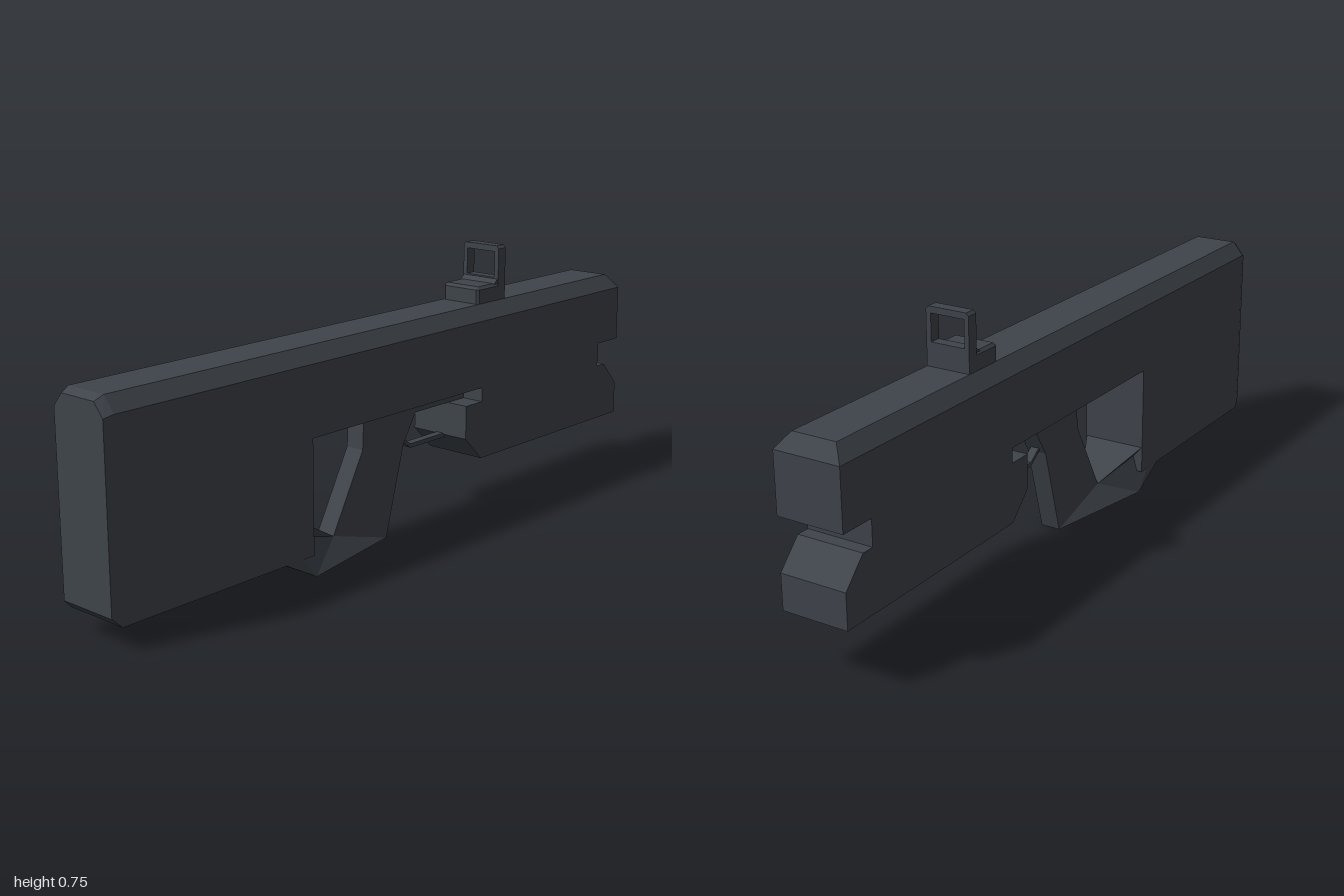
import * as THREE from 'three';
import { ConvexGeometry } from 'three/addons/geometries/ConvexGeometry.js';

export function createModel() {
  const group = new THREE.Group();
  const gunmetal = new THREE.MeshStandardMaterial({ color: 0x3f444b });
  gunmetal.name = 'gunmetal';

  const add = (name, geometry) => {
    const mesh = new THREE.Mesh(geometry, gunmetal);
    mesh.name = name;
    group.add(mesh);
    return mesh;
  };

  // Extrudes a (z, y) side outline across x; halfWidth may vary by point.
  function sideExtrude(points, halfWidth) {
    const shape = new THREE.Shape(points.map(([z, y]) => new THREE.Vector2(z, y)));
    const g = new THREE.ExtrudeGeometry(shape, { depth: 2, bevelEnabled: false });
    g.translate(0, 0, -1);
    g.rotateY(-Math.PI / 2);
    const p = g.attributes.position;
    for (let i = 0; i < p.count; i++) {
      const w = typeof halfWidth === 'function' ? halfWidth(p.getZ(i), p.getY(i)) : halfWidth;
      p.setX(i, Math.sign(p.getX(i)) * w);
    }
    g.computeVertexNormals();
    return g;
  }

  // Convex solid from points mirrored across x.
  const mirroredHull = (points) => new ConvexGeometry(points.flatMap(([x, y, z]) =>
    [new THREE.Vector3(x, y, z), new THREE.Vector3(-x, y, z)]));

  // Main body: rear block, bridge over the grip, fore block and notched nose
  add('body', sideExtrude([
    [0.975, 0.56], [0.975, 0.06], [0.35, 0.06], [0.35, 0.37], [-0.33, 0.37],
    [-0.33, 0.33], [-0.26, 0.33], [-0.26, 0.235], [-0.33, 0.165], [-1, 0.165],
    [-1, 0.26], [-0.935, 0.33], [-0.9, 0.33], [-0.9, 0.4], [-1, 0.4], [-1, 0.56],
  ], 0.093));

  // Chamfered top, sloped at the nose
  add('topRail', mirroredHull([
    [0.093, 0.56, 0.975], [0.062, 0.6, 0.975], [0.062, 0.6, -0.97], [0.093, 0.56, -1],
  ]));

  // Butt end with bevelled rim
  add('buttPlate', mirroredHull([
    [0.093, 0.06, 0.975], [0.093, 0.56, 0.975], [0.062, 0.6, 0.975],
    [0.086, 0.085, 1], [0.086, 0.553, 1], [0.057, 0.588, 1],
  ]));

  // Slim grip that flares to body width where it meets the rear block
  add('grip', sideExtrude([
    [0.45, 0.06], [0.34, 0], [0, 0], [-0.07, 0.25], [-0.12, 0.33], [-0.33, 0.33],
    [-0.33, 0.372], [0.09, 0.372], [0.095, 0.27], [0.21, 0.06], [0.35, 0.135], [0.45, 0.135],
  ], (z) => (z > 0.3 ? 0.091 : 0.028)));

  // Trigger guard: thin bent strip
  add('triggerGuard', sideExtrude([
    [-0.06, 0.267], [-0.12, 0.226], [-0.27, 0.226], [-0.27, 0.238], [-0.118, 0.238], [-0.07, 0.272],
  ], 0.012));

  // Sight base with a bevelled top and front
  add('sightBase', mirroredHull([
    [0.062, 0.595, -0.352], [0.062, 0.64, -0.352], [0.055, 0.595, -0.345], [0.055, 0.64, -0.345],
    [0.055, 0.648, -0.354], [0.055, 0.648, -0.463], [0.062, 0.64, -0.463], [0.062, 0.595, -0.463],
  ]));

  // Small ramp from the base up to the frame
  add('sightRamp', sideExtrude([[-0.418, 0.646], [-0.44, 0.646], [-0.44, 0.663]], 0.06));

  // Open square sight frame with clipped top corners
  const frame = new THREE.Shape([
    [-0.062, 0.6], [0.062, 0.6], [0.062, 0.745], [0.055, 0.753], [-0.055, 0.753], [-0.062, 0.745],
  ].map(([x, y]) => new THREE.Vector2(x, y)));
  frame.holes.push(new THREE.Path([
    [-0.049, 0.663], [-0.049, 0.736], [0.048, 0.736], [0.048, 0.663],
  ].map(([x, y]) => new THREE.Vector2(x, y))));
  const frameGeometry = new THREE.ExtrudeGeometry(frame, { depth: 0.032, bevelEnabled: false });
  add('sightFrame', frameGeometry).position.z = -0.467;

  return group;
}
